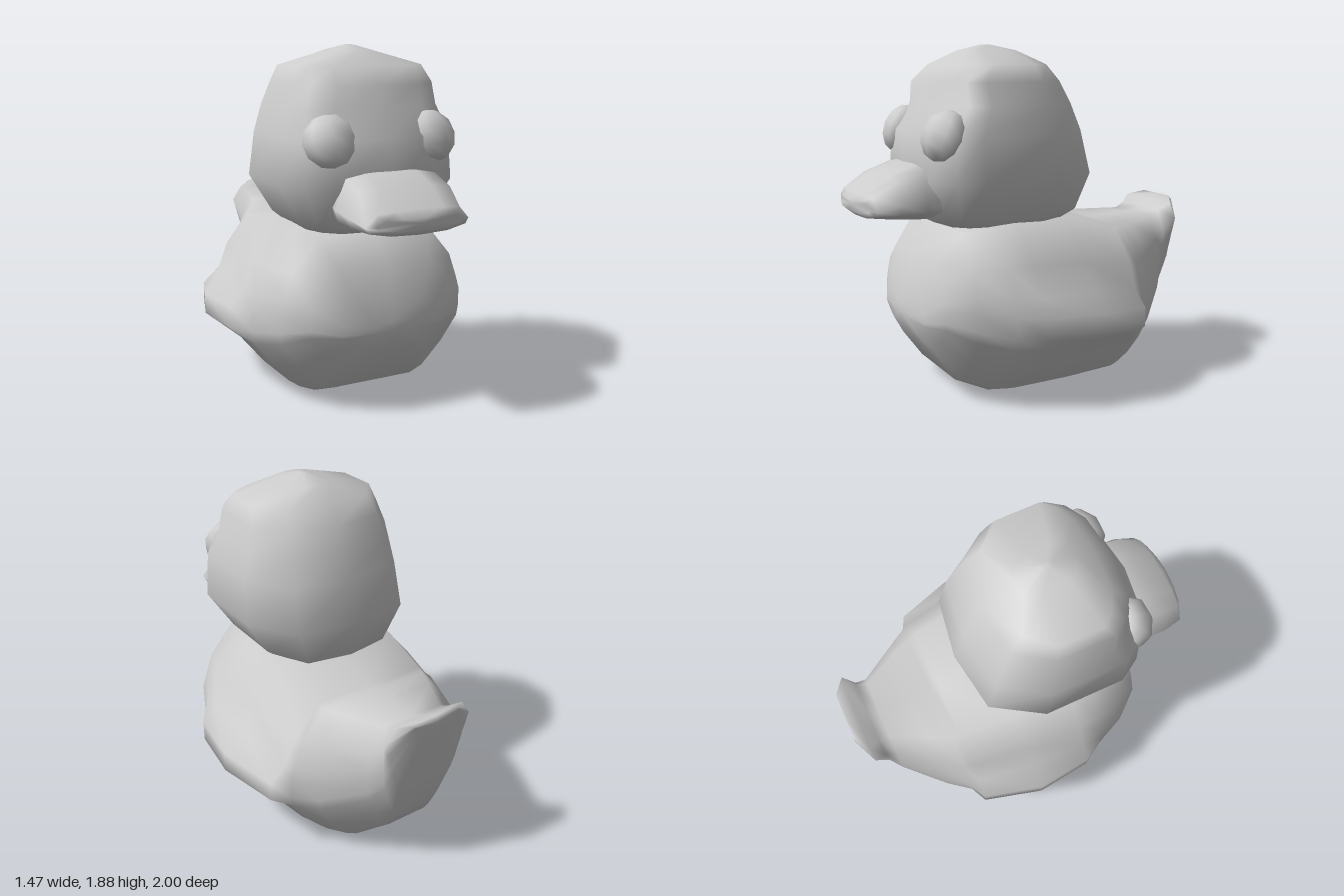
import * as THREE from 'three';

const material = new THREE.MeshStandardMaterial({ color: 0xcccccc });

// Skins a list of closed rings ([x, y, z] points) and closes both ends.
function loft(name, rings) {
  const n = rings[0].length;
  const points = rings.flat();
  const index = [];
  for (let i = 0; i < rings.length - 1; i++) {
    for (let j = 0; j < n; j++) {
      const k = (j + 1) % n;
      const a = i * n + j, b = i * n + k, c = b + n, d = a + n;
      index.push(a, b, c, a, c, d);
    }
  }
  const middle = (ring) => [0, 1, 2].map((k) => ring.reduce((s, p) => s + p[k], 0) / n);
  const last = (rings.length - 1) * n;
  const start = points.push(middle(rings[0])) - 1;
  const end = points.push(middle(rings.at(-1))) - 1;
  for (let j = 0; j < n; j++) {
    const k = (j + 1) % n;
    index.push(start, k, j, end, last + j, last + k);
  }
  const geometry = new THREE.BufferGeometry();
  geometry.setAttribute('position', new THREE.Float32BufferAttribute(points.flat(), 3));
  geometry.setIndex(index);
  geometry.computeVertexNormals();
  const mesh = new THREE.Mesh(geometry, material);
  mesh.name = name;
  return mesh;
}

// Completes a half outline whose first and last points lie on x = 0.
const mirrorRing = (half) => [
  ...half,
  ...half.slice(1, -1).reverse().map(([x, y, z]) => [-x, y, z]),
];

// Body with upturned tail and side wings, in sections from back to front.
function makeBody() {
  const u = [0, 0.43, 0.57, 0.8, 0.98, 1, 1, 0.96, 0.87, 0.61, 0];
  const tailU = [0, 0.5, 0.64, 0.74, 0.8, 0.84, 0.88, 0.93, 1, 0.8, 0];
  const v = [0, 0, 0.04, 0.19, 0.35, 0.42, 0.54, 0.63, 0.79, 0.99, 1];
  // How far each outline point takes part in the wing bulge
  const wingShare = [0, 0, 0, 0, 0.1, 1, 1, 0.1, 0, 0, 0];
  // z, bottom, top, half width, wing bulge, tail shape
  const sections = [
    [-1, 0.9, 0.98, 0.15, 0, 1],
    [-0.94, 0.54, 0.95, 0.27, 0, 1],
    [-0.88, 0.34, 0.91, 0.245, 0, 0.6],
    [-0.82, 0.22, 0.88, 0.28, 0, 0.1],
    [-0.62, 0.04, 0.875, 0.45, 0, 0],
    [-0.5, 0.01, 0.87, 0.54, 0, 0],
    [-0.45, 0, 0.875, 0.56, 0.08, 0],
    [-0.12, 0, 0.945, 0.62, 0.115, 0],
    [0.2, 0.005, 0.96, 0.64, 0.06, 0],
    [0.33, 0.02, 0.95, 0.62, 0, 0],
    [0.51, 0.1, 0.93, 0.54, 0, 0],
    [0.64, 0.27, 0.78, 0.43, 0, 0],
    [0.7, 0.36, 0.59, 0.28, 0, 0],
    [0.72, 0.42, 0.5, 0.12, 0, 0],
  ];
  return loft('body', sections.map(([z, y0, y1, w, wing, tail]) =>
    mirrorRing(u.map((s, i) => [
      THREE.MathUtils.lerp(s, tailU[i], tail) * w + wingShare[i] * wing,
      y0 + v[i] * (y1 - y0),
      z,
    ]))));
}

// Head in horizontal rings from the neck to the crown.
function makeHead() {
  // y, half width, back z, front z
  const levels = [
    [0.92, 0.3, -0.18, 0.5],
    [0.98, 0.37, -0.28, 0.62],
    [1.19, 0.5, -0.325, 0.7],
    [1.43, 0.48, -0.265, 0.68],
    [1.57, 0.44, -0.21, 0.575],
    [1.69, 0.405, -0.15, 0.57],
    [1.78, 0.37, -0.07, 0.47],
    [1.855, 0.11, 0.03, 0.35],
    [1.885, 0.02, 0.17, 0.23],
  ];
  return loft('head', levels.map(([y, w, back, front]) => {
    const d = front - back;
    return mirrorRing([
      [0, y, front],
      [w * 0.58, y, front - 0.04 * d],
      [w * 0.85, y, front - 0.13 * d],
      [w, y, front - 0.25 * d],
      [w, y, back + 0.31 * d],
      [w * 0.67, y, back + 0.05 * d],
      [0, y, back],
    ]);
  }));
}

// Flat, wide beak in sections from the face to the rounded tip.
function makeBeak() {
  // z, bottom, top, half width, how far the sides sweep back
  const sections = [
    [0.54, 0.97, 1.28, 0.27, 0],
    [0.68, 0.975, 1.28, 0.315, 0],
    [0.82, 0.99, 1.225, 0.315, 0],
    [0.96, 1.01, 1.135, 0.285, 0.02],
    [1, 1.04, 1.1, 0.24, 0.04],
  ];
  return loft('beak', sections.map(([z, y0, y1, w, sweep]) => {
    const h = y1 - y0;
    return mirrorRing([
      [0, 0],
      [0.55, 0.04],
      [0.94, 0.2],
      [1, 0.42],
      [0.8, 0.9],
      [0.45, 0.97],
      [0, 1],
    ].map(([s, t]) => [s * w, y0 + t * h, z - sweep * s * s]));
  }));
}

export function createModel() {
  const model = new THREE.Group();
  model.name = 'duck';
  model.add(makeBody(), makeHead(), makeBeak());

  // Bulging eyes, slightly flattened and tipped up and outward
  for (const side of [1, -1]) {
    const eye = new THREE.Mesh(new THREE.SphereGeometry(0.14, 8, 6), material);
    eye.name = side > 0 ? 'leftEye' : 'rightEye';
    eye.scale.z = 0.72;
    eye.position.set(side * 0.293, 1.425, 0.58);
    eye.rotation.set(-0.45, side * 0.25, 0);
    model.add(eye);
  }
  return model;
}
